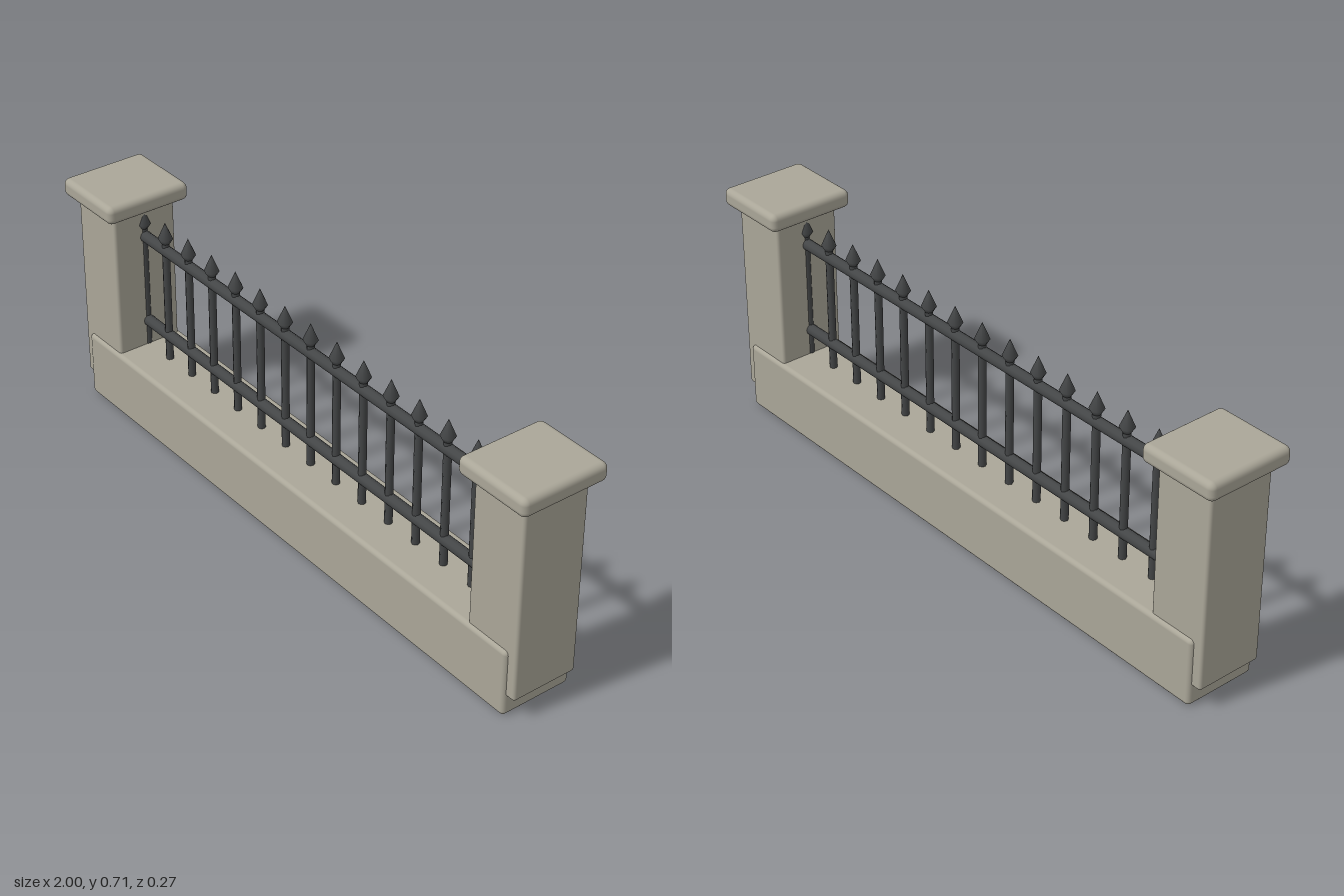
import * as THREE from 'three';
import { RoundedBoxGeometry } from 'three/addons/geometries/RoundedBoxGeometry.js';

export function createModel() {
  const model = new THREE.Group();
  model.name = 'fenceSection';
  const stone = new THREE.MeshStandardMaterial({ color: 0xaaa698 });
  const iron = new THREE.MeshStandardMaterial({ color: 0x444647 });

  const add = (name, geometry, material, x, y, z = 0) => {
    const mesh = new THREE.Mesh(geometry, material);
    mesh.name = name;
    mesh.position.set(x, y, z);
    model.add(mesh);
    return mesh;
  };
  // Rounded stone block spanning y0 to y1
  const block = (name, x, y0, y1, width, depth, radius) =>
    add(name, new RoundedBoxGeometry(width, y1 - y0, depth, 3, radius), stone, x, (y0 + y1) / 2);

  // Low plinth wall
  block('baseWall', 0, 0, 0.207, 1.88, 0.225, 0.013);

  // End pillars with overhanging caps
  for (const [side, s] of [['left', 1], ['right', -1]]) {
    block(side + 'Pillar', s * 0.877, 0.063, 0.665, 0.184, 0.206, 0.009);
    block(side + 'PillarCap', s * 0.877, 0.658, 0.713, 0.246, 0.273, 0.018);
  }

  // Horizontal rails
  const railGeometry = new THREE.CylinderGeometry(0.017, 0.017, 1.6, 10).rotateZ(Math.PI / 2);
  add('lowerRail', railGeometry, iron, 0, 0.287);
  add('upperRail', railGeometry, iron, 0, 0.57);

  // Upright bars with spear tips
  const barGeometry = new THREE.CylinderGeometry(0.0115, 0.0115, 0.42, 8);
  const tipProfile = [[0, 0.594], [0.012, 0.594], [0.022, 0.61], [0, 0.661]];
  const tipGeometry = new THREE.LatheGeometry(tipProfile.map(([r, y]) => new THREE.Vector2(r, y)), 8);
  for (let i = -7; i <= 7; i++) {
    add('bar', barGeometry, iron, i * 0.1133, 0.39);
    add('spearTip', tipGeometry, iron, i * 0.1133, 0);
  }
  return model;
}
